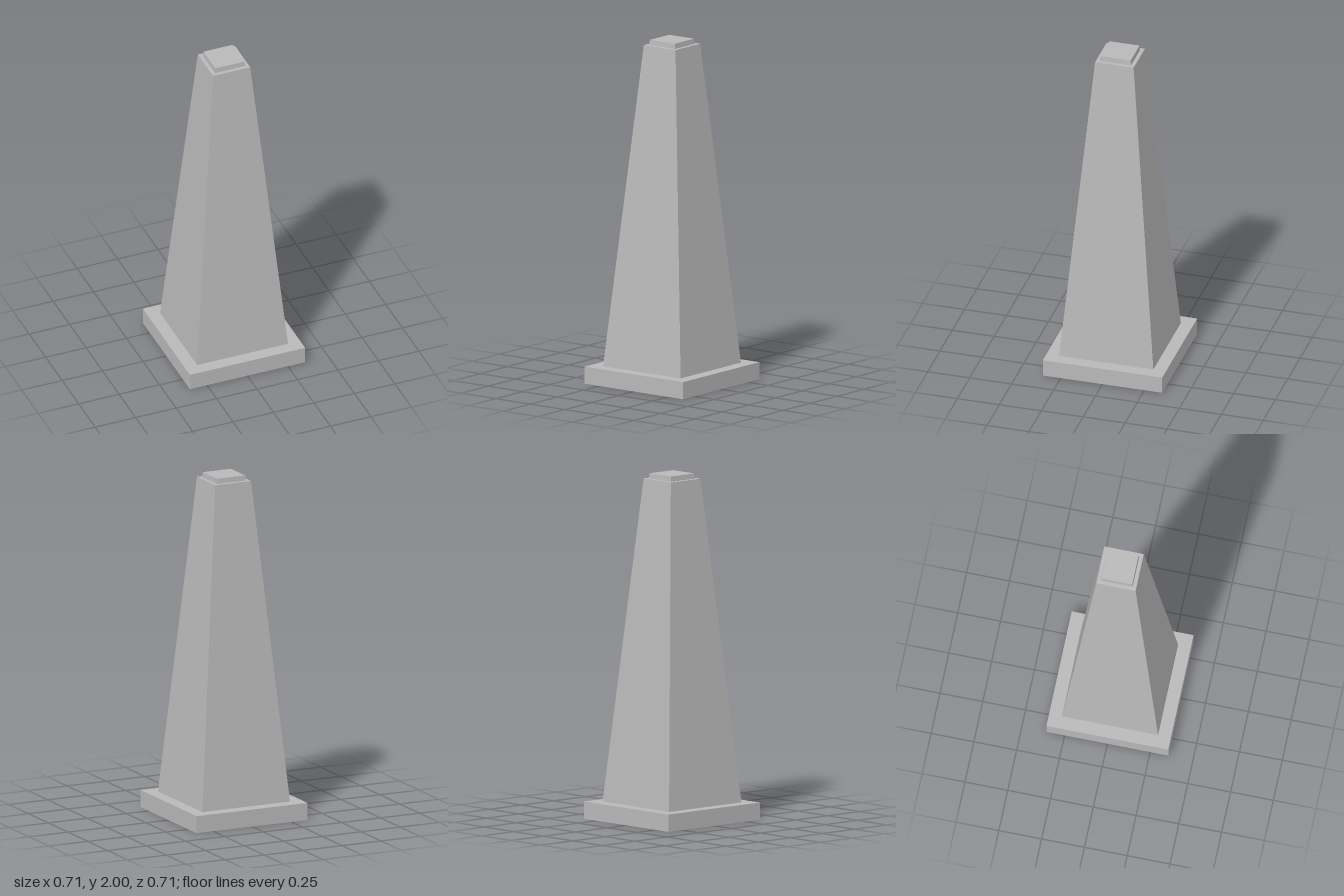
import * as THREE from 'three';

// Square block standing on y0, with its half width changing from bottom to top
function taperedBlock(name, halfBottom, halfTop, y0, y1, material) {
  const cylinder = new THREE.CylinderGeometry(halfTop * Math.SQRT2, halfBottom * Math.SQRT2, y1 - y0, 4);
  cylinder.rotateY(Math.PI / 4);
  cylinder.translate(0, (y0 + y1) / 2, 0);
  const geometry = cylinder.toNonIndexed();
  geometry.computeVertexNormals(); // flat faces
  const mesh = new THREE.Mesh(geometry, material);
  mesh.name = name;
  return mesh;
}

export function createModel() {
  const group = new THREE.Group();
  group.name = 'taperedPillar';
  const stone = new THREE.MeshStandardMaterial({ color: 0xb8b8b8 });
  stone.name = 'grey stone';

  group.add(
    taperedBlock('basePlinth', 0.356, 0.356, 0, 0.1, stone),
    taperedBlock('shaft', 0.281, 0.115, 0.1, 1.97, stone),
    taperedBlock('topCap', 0.093, 0.09, 1.97, 2, stone),
  );
  return group;
}
